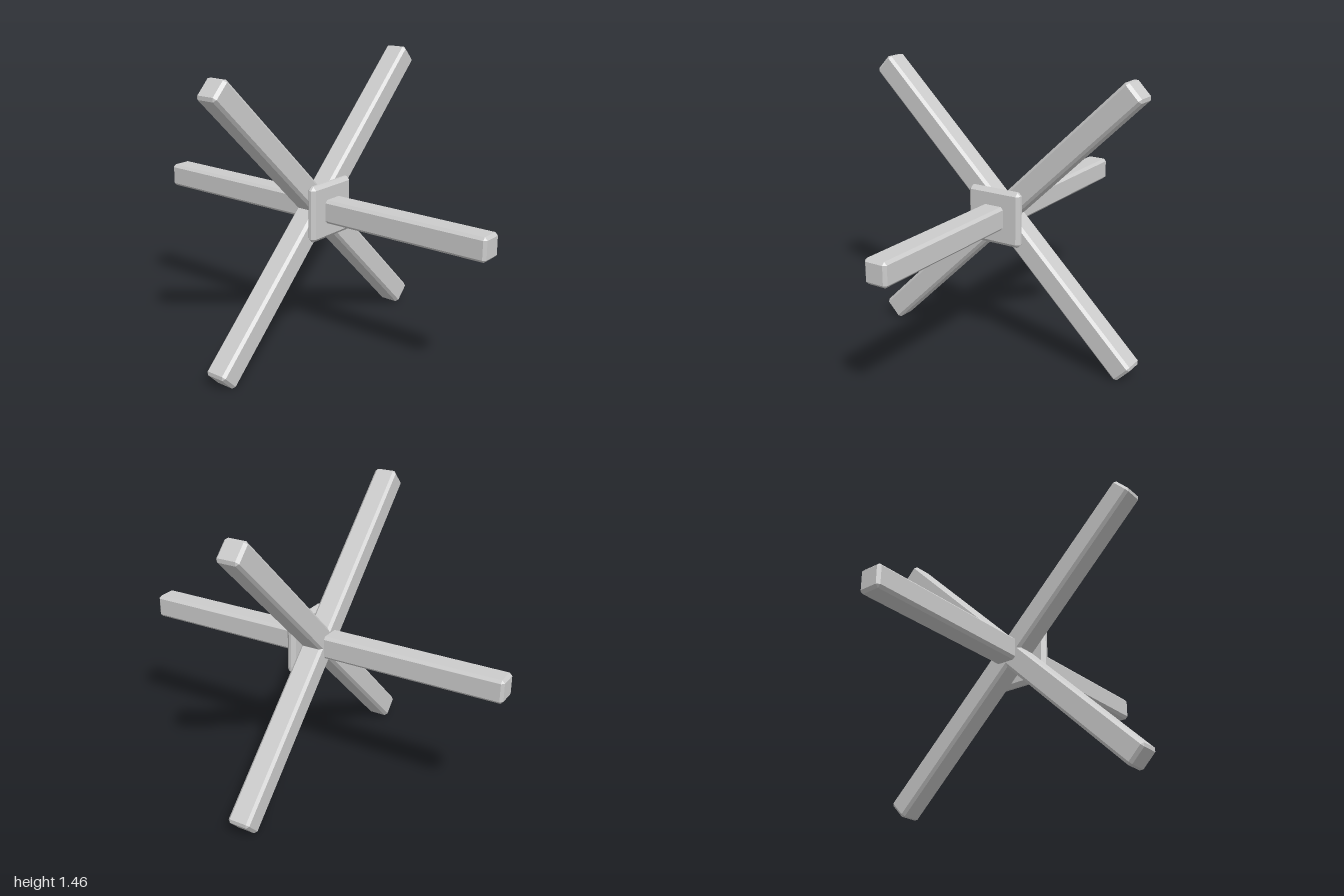
import * as THREE from 'three';
import { ConvexGeometry } from 'three/addons/geometries/ConvexGeometry.js';

// Box with every edge and corner chamfered by c
function chamferedBox(w, h, d, c) {
  const points = [];
  for (const sx of [-1, 1]) for (const sy of [-1, 1]) for (const sz of [-1, 1]) {
    const x = w / 2, y = h / 2, z = d / 2;
    points.push(
      new THREE.Vector3(sx * x, sy * (y - c), sz * (z - c)),
      new THREE.Vector3(sx * (x - c), sy * y, sz * (z - c)),
      new THREE.Vector3(sx * (x - c), sy * (y - c), sz * z)
    );
  }
  return new ConvexGeometry(points);
}

export function createModel() {
  const model = new THREE.Group();
  model.name = 'beamObstacle';
  const steel = new THREE.MeshStandardMaterial({ color: 0xcccccc, flatShading: true });
  steel.name = 'light grey steel';

  const centreY = 0.732;
  const add = (name, geometry) => {
    const mesh = new THREE.Mesh(geometry, steel);
    mesh.name = name;
    mesh.position.y = centreY;
    model.add(mesh);
    return mesh;
  };

  // Two crossed beams in the front plane
  const tilt = THREE.MathUtils.degToRad(44.2);
  const beam = chamferedBox(2, 0.12, 0.12, 0.014);
  add('risingBeam', beam).rotation.z = tilt;
  add('fallingBeam', beam).rotation.z = -tilt;

  // Beam running front to back
  add('throughBeam', chamferedBox(0.12, 0.12, 2, 0.014));

  // Square gusset plate in front of the crossing
  add('gussetPlate', chamferedBox(0.3, 0.285, 0.048, 0.018)).position.z = 0.082;

  return model;
}
